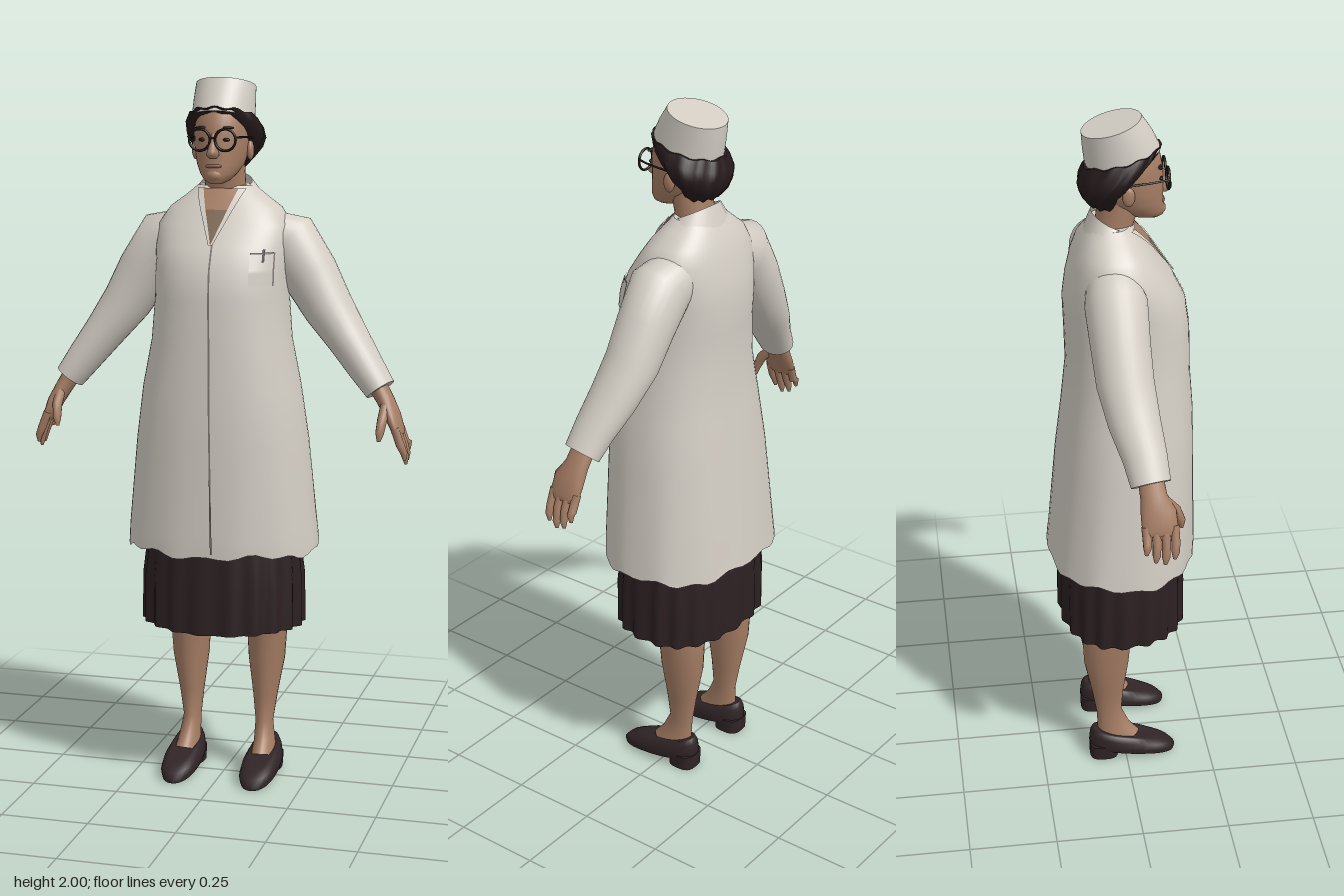
import * as THREE from 'three';

const material = (name, color, side = THREE.FrontSide) => {
  const m = new THREE.MeshStandardMaterial({ color, side });
  m.name = name;
  return m;
};

// Skins a row of elliptical rings [x, y, z, rx, rz, tilt].
// follow: rings turn to face along the path; p: superellipse power; ripple(a, i): [radius factor, lift].
function loft(rings, { n = 24, p = 2, follow = false, start = true, end = true, ripple = () => [1, 0] } = {}) {
  const pos = [], idx = [];
  const centres = rings.map(r => new THREE.Vector3(r[0], r[1], r[2]));
  const bend = v => Math.sign(v) * Math.abs(v) ** (2 / p);
  rings.forEach(([x, y, z, rx, rz, tilt = 0], i) => {
    const v1 = new THREE.Vector3(1, 0, 0), v2 = new THREE.Vector3(0, 0, 1);
    if (follow) {
      const t = centres[Math.min(i + 1, rings.length - 1)].clone().sub(centres[Math.max(i - 1, 0)]).normalize();
      v2.addScaledVector(t, -v2.dot(t)).normalize();
      v1.crossVectors(t, v2);
    }
    for (let k = 0; k < n; k++) {
      const a = k / n * Math.PI * 2, [f, lift] = ripple(a, i);
      const q = centres[i].clone().addScaledVector(v1, bend(Math.cos(a)) * rx * f).addScaledVector(v2, bend(Math.sin(a)) * rz * f);
      pos.push(q.x, q.y + tilt * Math.sin(a) + lift, q.z);
    }
  });
  for (let i = 0; i + 1 < rings.length; i++) for (let k = 0; k < n; k++) {
    const a = i * n + k, b = i * n + (k + 1) % n;
    idx.push(a, a + n, b, b, a + n, b + n);
  }
  const cap = (i, flip) => {
    const base = pos.length / 3;
    pos.push(...centres[i].toArray(), ...pos.slice(i * n * 3, (i + 1) * n * 3));
    for (let k = 0; k < n; k++) {
      const a = base + 1 + k, b = base + 1 + (k + 1) % n;
      idx.push(base, ...(flip ? [a, b] : [b, a]));
    }
  };
  if (start) cap(0, true);
  if (end) cap(rings.length - 1, false);
  const g = new THREE.BufferGeometry();
  g.setAttribute('position', new THREE.Float32BufferAttribute(pos, 3));
  g.setIndex(idx);
  g.computeVertexNormals();
  return g;
}

// Coat sections: height, half width, front z, back z
const COAT = [
  [0.69, 0.272, 0.205, -0.212], [0.74, 0.268, 0.207, -0.207], [1.0, 0.243, 0.203, -0.183],
  [1.15, 0.222, 0.2, -0.165], [1.28, 0.196, 0.19, -0.152], [1.4, 0.186, 0.187, -0.155],
  [1.48, 0.187, 0.175, -0.158], [1.54, 0.19, 0.145, -0.15], [1.6, 0.187, 0.102, -0.135],
  [1.645, 0.158, 0.072, -0.12], [1.68, 0.11, 0.045, -0.1], [1.705, 0.08, 0.025, -0.085],
];
const COAT_POWER = 2.3;

// Front surface depth of the coat at x, y
function coatFront(x, y) {
  let i = 0;
  while (i < COAT.length - 2 && COAT[i + 1][0] < y) i++;
  const t = (y - COAT[i][0]) / (COAT[i + 1][0] - COAT[i][0]);
  const [rx, zf, zb] = [1, 2, 3].map(k => THREE.MathUtils.lerp(COAT[i][k], COAT[i + 1][k], t));
  const f = Math.max(0, 1 - Math.min(1, Math.abs(x) / rx) ** COAT_POWER) ** (1 / COAT_POWER);
  return (zf + zb) / 2 + (zf - zb) / 2 * f;
}

// Thin panel lying on the coat, between two rows [y, xLeft, xRight]
function panel(low, high, lift = 0.004, rows = 20, cols = 6) {
  const g = new THREE.PlaneGeometry(1, 1, cols, rows), pos = g.attributes.position;
  for (let i = 0; i < pos.count; i++) {
    const [y, a, b] = low.map((v, k) => THREE.MathUtils.lerp(v, high[k], pos.getY(i) + 0.5));
    const x = THREE.MathUtils.lerp(a, b, pos.getX(i) + 0.5);
    pos.setXYZ(i, x, y, coatFront(x, y) + lift);
  }
  g.computeVertexNormals();
  return g;
}

export function createModel() {
  const model = new THREE.Group();
  model.name = 'womanInCoat';
  const white = material('coatWhite', 0xd3cdc4, THREE.DoubleSide);
  const skin = material('skin', 0xa57d64);
  const hairMat = material('hairBrown', 0x261a1b);
  const skirtMat = material('skirtBrown', 0x2c2022, THREE.DoubleSide);
  const shoeMat = material('shoeBrown', 0x302426);
  const frame = material('frameBlack', 0x1c1616);
  const blouseMat = material('blouseBrown', 0x7d6751, THREE.DoubleSide);
  const seamMat = material('seamGrey', 0x7c7770, THREE.DoubleSide);
  const lipMat = material('lips', 0x8c5d50);
  const neckSkin = material('neckSkin', 0xa57d64, THREE.DoubleSide);

  const add = (name, geo, mat, x = 0, y = 0, z = 0) => {
    const m = new THREE.Mesh(geo, mat);
    m.name = name;
    m.position.set(x, y, z);
    model.add(m);
    return m;
  };
  const ball = (name, mat, x, y, z, sx, sy, sz) =>
    add(name, new THREE.SphereGeometry(1, 16, 12), mat, x, y, z).scale.set(sx, sy, sz);

  // Coat body with an uneven hem, and the raised collar behind the neck
  add('coatBody', loft(COAT.map(([y, rx, f, b]) => [0, y, (f + b) / 2, rx, (f - b) / 2]), {
    n: 64, p: COAT_POWER, start: false,
    ripple: (a, i) => i > 1 ? [1, 0] : [1 + 0.008 * Math.sin(11 * a), i ? 0 : 0.012 * Math.sin(9 * a + 1) * Math.sin(4 * a)],
  }), white);
  add('collar', loft([[0, 1.675, -0.03, 0.108, 0.07, -0.005], [0, 1.712, -0.024, 0.073, 0.055, -0.027]],
    { start: false, end: false }), white);

  // Neckline, front opening and chest pocket
  add('necklineSkin', panel([1.64, -0.032, 0.032], [1.698, -0.054, 0.054], 0.006), neckSkin);
  add('blouse', panel([1.55, -0.001, 0.001], [1.642, -0.034, 0.034], 0.007), blouseMat);
  add('frontOpening', panel([0.7, 0.016, 0.021], [1.55, 0.001, 0.006], 0.003, 40, 1), seamMat);
  for (const s of [-1, 1]) {
    const edge = (y, x, w) => [y, Math.min(s * x, s * (x + w)), Math.max(s * x, s * (x + w))];
    add('lapel', panel(edge(1.55, 0, 0.006), edge(1.698, 0.05, 0.02), 0.009), white);
  }
  add('pocket', panel([1.44, 0.11, 0.165], [1.53, 0.11, 0.165]), white);
  add('pocketEdge', panel([1.526, 0.11, 0.165], [1.531, 0.11, 0.165], 0.006, 2), seamMat);
  add('pocketSide', panel([1.44, 0.165, 0.168], [1.53, 0.165, 0.168], 0.005, 6, 1), seamMat);
  add('pen', panel([1.505, 0.14, 0.146], [1.54, 0.14, 0.146], 0.008, 4, 1), frame);

  // Pleated skirt
  add('skirt', loft([[0, 0.462, 0, 0.228, 0.18], [0, 0.6, 0, 0.228, 0.18], [0, 0.74, 0, 0.215, 0.17]], {
    n: 120, p: 2.3, start: false,
    ripple: (a, i) => [1 + [0.032, 0.022, 0][i] * Math.sin(20 * a), i ? 0 : 0.004 * Math.sin(3 * a)],
  }), skirtMat);

  for (const s of [-1, 1]) {
    const limb = (name, pts, mat, n = 20) =>
      add(name, loft(pts.map(([x, ...r]) => [s * x, ...r]), { n, follow: true }), mat);

    // Sleeve
    limb('sleeve', [
      [0.1, 1.57, -0.035, 0.07, 0.07], [0.18, 1.545, -0.035, 0.09, 0.084], [0.24, 1.46, -0.032, 0.079, 0.08],
      [0.293, 1.37, -0.026, 0.07, 0.077], [0.355, 1.285, -0.01, 0.058, 0.07], [0.41, 1.21, 0.01, 0.05, 0.06],
      [0.452, 1.153, 0.02, 0.043, 0.054],
    ], white, 28);

    // Hand, fingers and thumb
    limb('palm', [
      [0.44, 1.17, 0.02, 0.026, 0.034], [0.468, 1.125, 0.025, 0.024, 0.036],
      [0.49, 1.085, 0.035, 0.021, 0.048], [0.507, 1.045, 0.038, 0.016, 0.048], [0.512, 1.03, 0.038, 0.009, 0.042],
    ], skin);
    for (let f = 0; f < 4; f++) {
      const z = 0.075 - f * 0.025, tip = [0.968, 0.953, 0.96, 0.985][f];
      limb('finger', [
        [0.503, 1.055, z, 0.012, 0.013], [0.52, 1.01, z + 0.002, 0.012, 0.012],
        [0.53, tip + 0.02, z, 0.01, 0.011], [0.531, tip, z - 0.002, 0.004, 0.005],
      ], skin, 10);
    }
    limb('thumb', [
      [0.472, 1.115, 0.05, 0.014, 0.016], [0.47, 1.08, 0.084, 0.014, 0.015],
      [0.466, 1.045, 0.099, 0.012, 0.012], [0.464, 1.022, 0.101, 0.005, 0.005],
    ], skin, 10);

    // Leg
    limb('leg', [
      [0.115, 0.05, -0.02, 0.036, 0.065], [0.113, 0.09, -0.035, 0.03, 0.05], [0.109, 0.15, -0.048, 0.025, 0.037],
      [0.111, 0.23, -0.052, 0.035, 0.047], [0.114, 0.34, -0.056, 0.052, 0.066], [0.115, 0.44, -0.055, 0.058, 0.073],
      [0.115, 0.62, -0.03, 0.075, 0.085],
    ], skin, 24);

    // Shoe with heel
    const x = s * 0.117;
    add('shoe', loft([
      [x, 0.02, 0.02, 0.05, 0.127, -0.02], [x, 0.036, 0.02, 0.054, 0.13, -0.022],
      [x, 0.056, 0.015, 0.05, 0.122, -0.028], [x, 0.073, 0, 0.041, 0.1, -0.026],
      [x, 0.077, -0.018, 0.034, 0.078, -0.022],
    ], { n: 32, p: 2.3 }), shoeMat);
    add('shoeHeel', loft([[x, 0, -0.066, 0.04, 0.042], [x, 0.045, -0.066, 0.043, 0.043]], { p: 3 }), shoeMat);

    // Ear, eye and eyebrow
    ball('ear', skin, s * 0.078, 1.802, 0.012, 0.01, 0.027, 0.017);
    ball('eye', frame, s * 0.033, 1.833, 0.103, 0.011, 0.005, 0.006);
    ball('eyebrow', hairMat, s * 0.035, 1.865, 0.1, 0.02, 0.004, 0.006);

    // Glasses
    add('lensRim', new THREE.TorusGeometry(0.029, 0.0035, 8, 32), frame, s * 0.036, 1.833, 0.122);
    add('templeArm', new THREE.TubeGeometry(new THREE.CatmullRomCurve3([
      new THREE.Vector3(s * 0.065, 1.84, 0.122), new THREE.Vector3(s * 0.08, 1.84, 0.08), new THREE.Vector3(s * 0.084, 1.835, 0.01),
    ]), 10, 0.003, 6), frame);
  }
  const bridge = add('glassesBridge', new THREE.CylinderGeometry(0.003, 0.003, 0.016, 8), frame, 0, 1.838, 0.123);
  bridge.rotation.z = Math.PI / 2;

  // Neck and head
  add('neck', loft([[0, 1.62, -0.03, 0.065, 0.055], [0, 1.69, -0.018, 0.058, 0.052], [0, 1.79, 0.0, 0.056, 0.058]]), skin);
  add('head', loft([
    [0, 1.713, 0.082, 0.016, 0.022], [0, 1.722, 0.07, 0.034, 0.046], [0, 1.74, 0.053, 0.05, 0.066],
    [0, 1.765, 0.034, 0.064, 0.081], [0, 1.8, 0.022, 0.073, 0.092], [0, 1.85, 0.015, 0.077, 0.098],
    [0, 1.9, 0.01, 0.073, 0.094], [0, 1.925, 0.0, 0.06, 0.08],
  ], { n: 32 }), skin);
  limbNose();
  function limbNose() {
    add('nose', loft([
      [0, 1.783, 0.116, 0.01, 0.01], [0, 1.792, 0.118, 0.018, 0.019], [0, 1.802, 0.117, 0.015, 0.022],
      [0, 1.83, 0.11, 0.009, 0.014], [0, 1.85, 0.105, 0.008, 0.009],
    ], { n: 16 }), skin);
  }
  ball('mouth', lipMat, 0, 1.762, 0.111, 0.023, 0.006, 0.008);
  ball('chin', skin, 0, 1.737, 0.1, 0.026, 0.02, 0.022);

  // Wavy hair rolled up at the back
  add('hair', loft([
    [0, 1.755, -0.04, 0.05, 0.04, 0], [0, 1.785, -0.046, 0.076, 0.056, 0.008], [0, 1.81, -0.037, 0.098, 0.072, 0.014],
    [0, 1.838, -0.026, 0.109, 0.088, 0.02], [0, 1.868, -0.008, 0.107, 0.102, 0.028], [0, 1.895, 0.004, 0.092, 0.103, 0.026],
  ], { n: 72, ripple: (a, i) => [1 + 0.022 * Math.sin(14 * a + i * 1.7), 0.003 * Math.sin(10 * a + i)] }), hairMat);

  // Tilted round cap
  add('cap', loft([
    [0, 1.887, 0.007, 0.086, 0.1, 0.024], [0, 1.935, -0.008, 0.085, 0.092, 0.022], [0, 1.978, -0.024, 0.083, 0.079, 0.022],
  ], { n: 40 }), white);
  return model;
}
